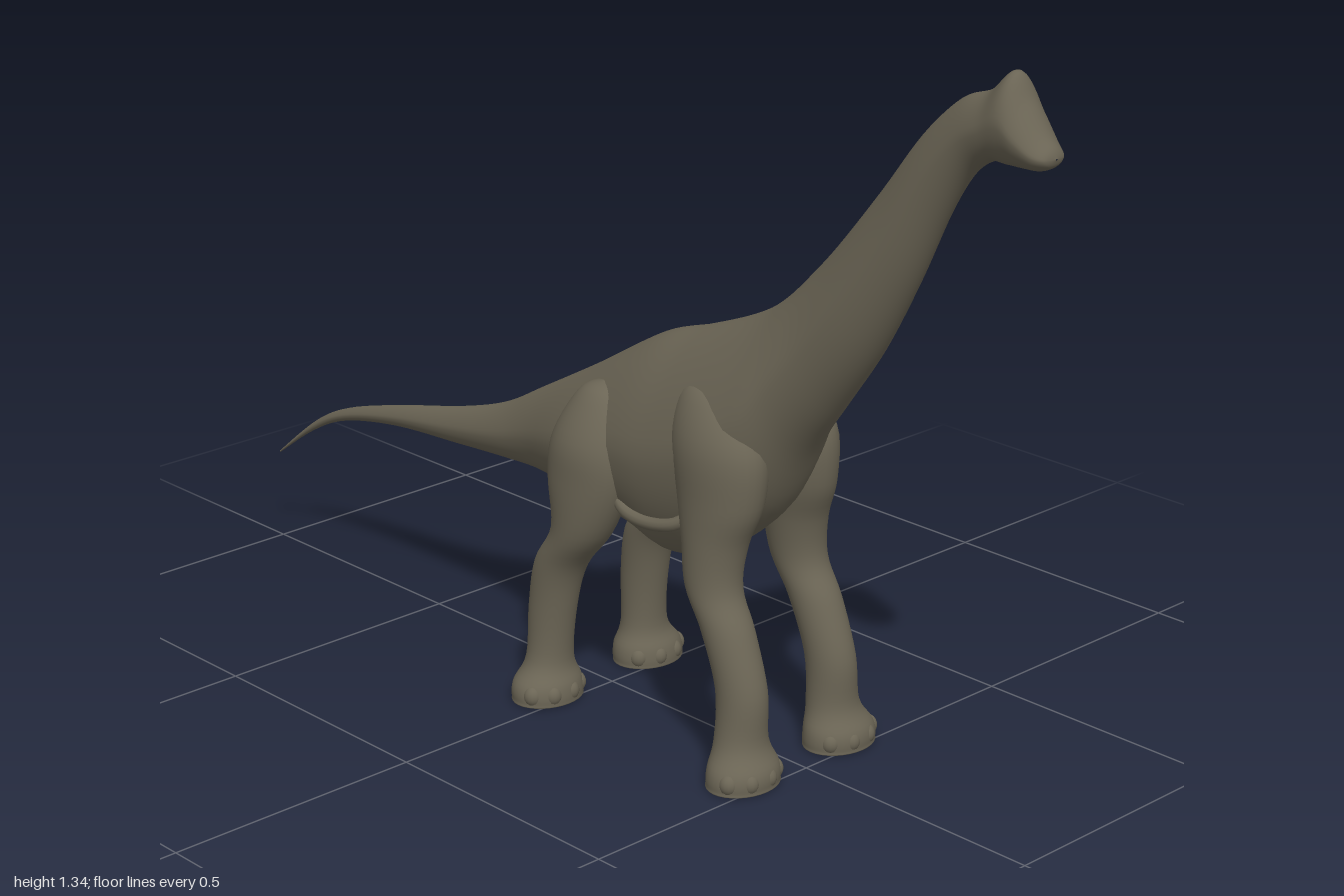
import * as THREE from 'three';

const hide = new THREE.MeshStandardMaterial({ color: 0x6b6555 });
hide.name = 'olive hide';

// Smoothly resample a list of number rows (uniform Catmull-Rom)
function resample(rows, steps) {
  const out = [];
  const n = rows.length;
  for (let i = 0; i < n - 1; i++) {
    const p0 = rows[Math.max(i - 1, 0)], p1 = rows[i], p2 = rows[i + 1], p3 = rows[Math.min(i + 2, n - 1)];
    for (let s = 0; s < steps; s++) {
      const t = s / steps, t2 = t * t, t3 = t2 * t;
      out.push(p1.map((v, k) => 0.5 * (2 * v + (p2[k] - p0[k]) * t
        + (2 * p0[k] - 5 * v + 4 * p2[k] - p3[k]) * t2
        + (3 * v - p0[k] - 3 * p2[k] + p3[k]) * t3)));
    }
  }
  out.push(rows[n - 1]);
  return out;
}

// Skin a series of closed rings; point(row, angle) returns [x, y, z]
function loft(name, rows, sides, point) {
  const pos = [], index = [];
  rows.forEach((row, i) => {
    for (let j = 0; j < sides; j++) {
      pos.push(...point(row, (j / sides) * Math.PI * 2));
      if (i === rows.length - 1) continue;
      const a = i * sides + j, b = i * sides + (j + 1) % sides;
      index.push(a, b, a + sides, b, b + sides, a + sides);
    }
  });
  const geo = new THREE.BufferGeometry();
  geo.setAttribute('position', new THREE.Float32BufferAttribute(pos, 3));
  geo.setIndex(index);
  geo.computeVertexNormals();
  const mesh = new THREE.Mesh(geo, hide);
  mesh.name = name;
  return mesh;
}

// Tail tip to snout: top z, top y, bottom z, bottom y, half width
const tail = [
  [-1, 0.187, -1, 0.183, 0.002],
  [-0.875, 0.286, -0.885, 0.262, 0.007],
  [-0.77, 0.34, -0.775, 0.312, 0.012],
  [-0.61, 0.388, -0.61, 0.345, 0.02],
  [-0.42, 0.436, -0.42, 0.36, 0.031],
  [-0.29, 0.48, -0.28, 0.371, 0.045],
  [-0.18, 0.54, -0.17, 0.376, 0.063],
];
const torso = [
  [-0.02, 0.63, -0.05, 0.367, 0.105],
  [0.14, 0.725, 0.10, 0.348, 0.13],
  [0.25, 0.765, 0.20, 0.325, 0.14],
  [0.345, 0.803, 0.31, 0.365, 0.138],
  [0.41, 0.837, 0.42, 0.46, 0.122],
];
const neckAndHead = [
  [0.455, 0.872, 0.49, 0.59, 0.098],
  [0.50, 0.917, 0.555, 0.68, 0.082],
  [0.56, 0.983, 0.64, 0.80, 0.07],
  [0.65, 1.095, 0.715, 0.935, 0.056],
  [0.735, 1.207, 0.78, 1.07, 0.045],
  [0.81, 1.277, 0.83, 1.15, 0.04],
  [0.87, 1.302, 0.875, 1.185, 0.044],
  [0.915, 1.34, 0.91, 1.187, 0.049],
  [0.945, 1.295, 0.945, 1.188, 0.047],
  [0.975, 1.25, 0.975, 1.19, 0.038],
  [0.994, 1.228, 0.994, 1.199, 0.025],
  [1.0, 1.214, 1.0, 1.212, 0.002],
];

// Egg-shaped section, narrower towards the spine
function bodyPoint([tz, ty, bz, by, w], a) {
  const s = Math.sin(a), k = (s + 1) / 2;
  return [w * Math.cos(a) * (1 - 0.22 * Math.max(0, s)), by + (ty - by) * k, bz + (tz - bz) * k];
}

// Legs from the top down: y, centre x, centre z, half width x, half depth z
const legs = {
  front: [
    [0.705, 0.07, 0.33, 0.004, 0.004],
    [0.68, 0.078, 0.335, 0.04, 0.06],
    [0.60, 0.086, 0.36, 0.066, 0.098],
    [0.50, 0.091, 0.37, 0.063, 0.088],
    [0.42, 0.10, 0.367, 0.055, 0.063],
    [0.34, 0.107, 0.372, 0.049, 0.053],
    [0.27, 0.11, 0.41, 0.046, 0.05],
    [0.17, 0.112, 0.447, 0.044, 0.048],
    [0.08, 0.116, 0.452, 0.05, 0.046],
    [0.035, 0.121, 0.463, 0.07, 0.057],
    [0.008, 0.122, 0.464, 0.073, 0.058],
    [0, 0.122, 0.464, 0.066, 0.052],
    [0, 0.122, 0.464, 0.001, 0.001],
  ],
  hind: [
    [0.63, 0.07, 0.06, 0.004, 0.004],
    [0.61, 0.075, 0.06, 0.04, 0.05],
    [0.53, 0.095, 0.055, 0.064, 0.085],
    [0.45, 0.102, 0.05, 0.063, 0.09],
    [0.35, 0.11, 0.038, 0.053, 0.061],
    [0.27, 0.113, -0.015, 0.047, 0.052],
    [0.18, 0.116, -0.035, 0.043, 0.047],
    [0.08, 0.12, -0.04, 0.046, 0.042],
    [0.035, 0.127, -0.039, 0.069, 0.057],
    [0.008, 0.128, -0.038, 0.072, 0.059],
    [0, 0.128, -0.038, 0.065, 0.052],
    [0, 0.128, -0.038, 0.001, 0.001],
  ],
};

function makeLeg(kind, side) {
  const leg = new THREE.Group();
  leg.name = `${kind}${side > 0 ? 'Left' : 'Right'}Leg`;
  const rows = legs[kind];
  leg.add(loft('limb', resample(rows, 5), 32, ([y, x, z, rx, rz], a) =>
    [side * x + rx * Math.cos(a), Math.max(0, y), z + rz * Math.sin(a)]));
  // Rounded toes along the front rim of the foot
  const [, x, z, rx, rz] = rows[rows.length - 3];
  for (const deg of [25, 65, 105, 145]) {
    const a = THREE.MathUtils.degToRad(deg);
    const toe = new THREE.Mesh(new THREE.SphereGeometry(0.02, 16, 12), hide);
    toe.scale.set(0.9, 1, 0.9);
    toe.position.set(side * (x + (rx - 0.013) * Math.cos(a)), 0.021, z + (rz - 0.014) * Math.sin(a));
    toe.name = 'toe';
    leg.add(toe);
  }
  return leg;
}

// Skin crease along the flank between the legs
function makeFold(side) {
  const path = new THREE.CatmullRomCurve3([
    [0.095, 0.465, 0.33], [0.118, 0.43, 0.28], [0.119, 0.415, 0.21],
    [0.112, 0.42, 0.15], [0.095, 0.44, 0.11],
  ].map(([x, y, z]) => new THREE.Vector3(side * x, y, z)));
  const fold = new THREE.Mesh(new THREE.TubeGeometry(path, 24, 0.012, 10), hide);
  fold.name = 'flankFold';
  return fold;
}

export function createModel() {
  const model = new THREE.Group();
  model.name = 'longNeckedDinosaur';
  model.add(loft('bodyNeckAndTail', resample([...tail, ...torso, ...neckAndHead], 6), 48, bodyPoint));
  for (const side of [1, -1]) {
    model.add(makeLeg('front', side), makeLeg('hind', side), makeFold(side));
  }
  return model;
}
